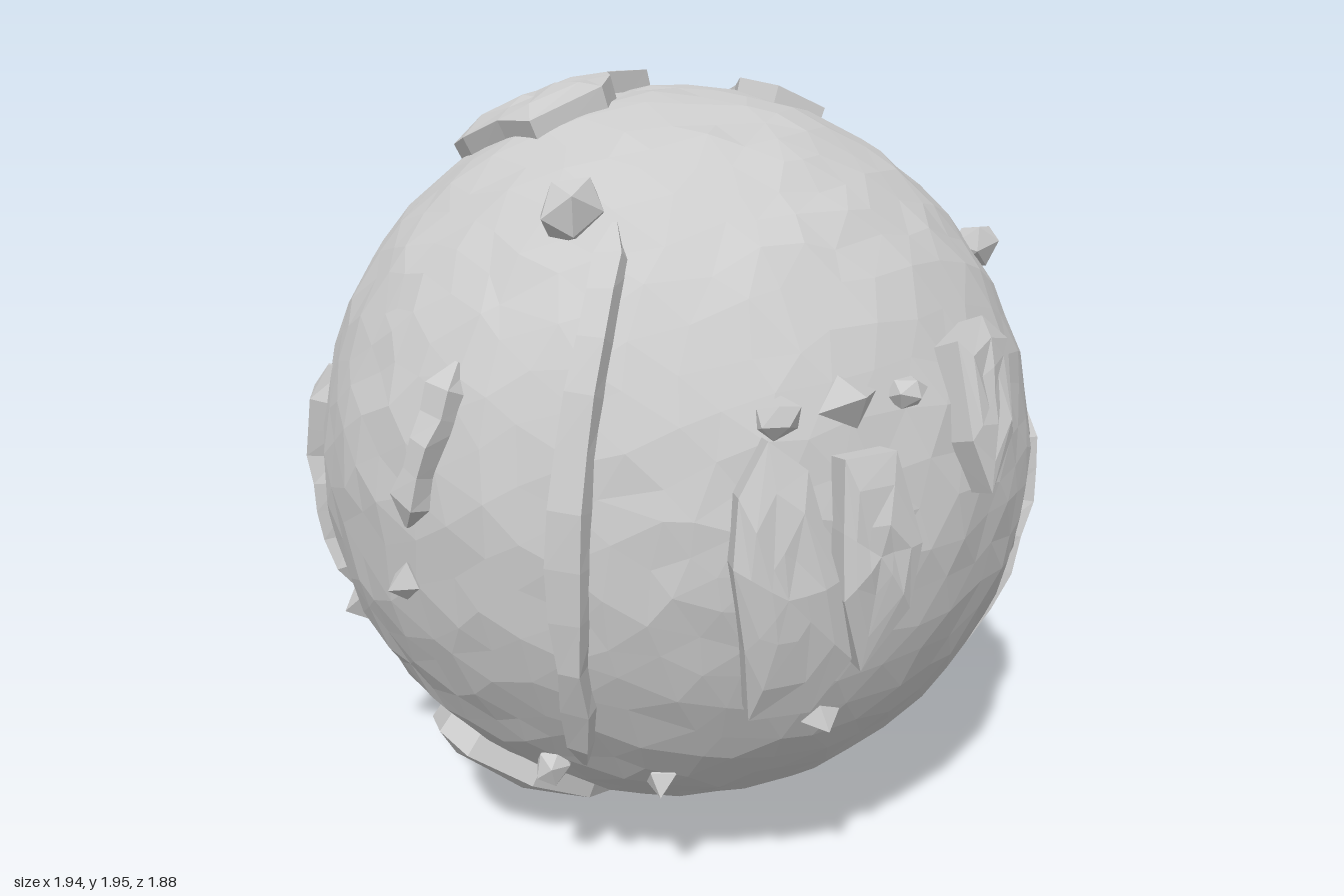
import * as THREE from 'three';

const C = new THREE.Vector3(-0.01, 1.01, -0.025); // planet centre
const R = 0.922;
const mat = new THREE.MeshStandardMaterial({ color: 0xcccccc, flatShading: true });
const V = (x, y, z) => new THREE.Vector3(x, y, z);

// direction from the planet centre to a point
const dir = (p) => V(...p).sub(C).normalize();
// repeatable noise in -1..1 tied to a position
const noise = (p, k) => {
  const s = Math.sin(Math.round(p.x * 500) * 12.99 + Math.round(p.y * 500) * 78.23 + Math.round(p.z * 500) * 37.72 + k * 4.1) * 43758.5;
  return (s - Math.floor(s)) * 2 - 1;
};

function meshOf(name, tris) {
  const g = new THREE.BufferGeometry().setFromPoints(tris);
  g.computeVertexNormals();
  const m = new THREE.Mesh(g, mat);
  m.name = name;
  m.position.copy(C);
  return m;
}

// faceted globe with an uneven surface
function globe() {
  const g = new THREE.IcosahedronGeometry(1, 9);
  const pos = g.attributes.position;
  const p = V();
  for (let i = 0; i < pos.count; i++) {
    p.fromBufferAttribute(pos, i);
    const q = p.clone();
    p.add(V(noise(q, 1) * 0.03, noise(q, 2) * 0.018, noise(q, 3) * 0.03)).normalize();
    p.multiplyScalar(R + noise(q, 4) * 0.007);
    pos.setXYZ(i, p.x, p.y, p.z);
  }
  g.computeVertexNormals();
  const m = new THREE.Mesh(g, mat);
  m.name = 'globe';
  m.position.copy(C);
  return m;
}

// raised land: sloping wall around an outline, closed by a curved cap
function plateau(name, outline, h) {
  let d = outline.map(dir);
  const mid = d.reduce((a, b) => a.add(b), V()).normalize();
  const turn = d.reduce((s, a, i) => s + a.clone().cross(d[(i + 1) % d.length]).dot(mid), 0);
  if (turn < 0) d.reverse();
  const ring = (t, r) => d.map((a) => a.clone().lerp(mid, t).normalize().multiplyScalar(r + noise(a, t * 9) * 0.008));
  const rings = [ring(0, R - 0.04), ring(0.05, R + h * 0.85), ring(0.35, R + h), ring(0.7, R + h), ring(1, R + h)];
  rings[4].forEach((p) => p.copy(mid).multiplyScalar(R + h));
  const tris = [];
  for (let k = 0; k < 4; k++) {
    for (let i = 0; i < d.length; i++) {
      const j = (i + 1) % d.length;
      const [a, b, c, e] = [rings[k][i], rings[k][j], rings[k + 1][j], rings[k + 1][i]];
      tris.push(a, b, c);
      if (k < 3) tris.push(a, c, e);
    }
  }
  return meshOf(name, tris);
}

// narrow ridge following a path, tapered at both ends
function ridge(name, path, width, h) {
  const curve = new THREE.CatmullRomCurve3(path.map((p) => dir(p)));
  const n = path.length * 2;
  const rows = [];
  for (let i = 0; i <= n; i++) {
    const p = curve.getPoint(i / n).normalize();
    const side = curve.getTangent(i / n).cross(p).normalize();
    const s = Math.min(1, 0.15 + 2.5 * Math.sin((i / n) * Math.PI));
    const w = width * s * (1 + noise(p, 1) * 0.25);
    const hh = h * s * (1 + noise(p, 2) * 0.2);
    rows.push([[-0.5, -0.04], [-0.32, hh], [0.32, hh * 0.85], [0.5, -0.04]].map(([a, b]) =>
      p.clone().addScaledVector(side, a * w).normalize().multiplyScalar(R + b)));
  }
  const tris = [];
  for (let i = 0; i < n; i++) {
    for (let k = 0; k < 3; k++) {
      const [a, b, c, e] = [rows[i][k], rows[i][k + 1], rows[i + 1][k + 1], rows[i + 1][k]];
      tris.push(a, b, c, a, c, e);
    }
  }
  for (const [r, o] of [[rows[0], 1], [rows[n], 0]]) {
    const f = o ? [0, 2, 1, 0, 3, 2] : [0, 1, 2, 0, 2, 3];
    tris.push(...f.map((k) => r[k]));
  }
  return meshOf(name, tris);
}

// small angular rock standing on the surface
function rock(p, size, i) {
  const d = dir(p);
  const m = new THREE.Mesh(i % 2 ? new THREE.OctahedronGeometry(size) : new THREE.IcosahedronGeometry(size, 0), mat);
  m.name = 'rock' + (i + 1);
  m.scale.set(0.75, 1, 0.95);
  m.quaternion.setFromUnitVectors(V(0, 1, 0), d);
  m.position.copy(C).addScaledVector(d, R + size * 0.05);
  return m;
}

export function createModel() {
  const group = new THREE.Group();
  group.name = 'planet';
  group.add(globe());

  // polar and bottom land
  group.add(plateau('topLand', [[-0.42, 1.84, 0.1], [-0.34, 1.87, -0.09], [-0.19, 1.92, -0.09], [-0.1, 1.93, 0.1],
    [-0.03, 1.93, 0.14], [0.05, 1.91, 0.22], [0, 1.85, 0.4], [-0.15, 1.84, 0.4], [-0.32, 1.78, 0.4],
    [-0.44, 1.75, 0.36], [-0.53, 1.72, 0.28], [-0.42, 1.8, 0.2]], 0.055));
  group.add(plateau('rearTopLand', [[-0.4, 1.75, -0.4], [-0.3, 1.78, -0.43], [-0.17, 1.82, -0.42], [-0.08, 1.82, -0.44],
    [0.04, 1.81, -0.47], [0, 1.87, -0.34], [-0.06, 1.89, -0.26], [-0.15, 1.86, -0.32], [-0.28, 1.81, -0.35]], 0.055));
  group.add(plateau('bottomLand', [[0, 0.42, 0.72], [0.08, 0.38, 0.68], [0.16, 0.26, 0.55], [0.14, 0.14, 0.36],
    [0.05, 0.09, 0.2], [-0.12, 0.1, 0.2], [-0.24, 0.16, 0.4], [-0.24, 0.24, 0.52], [-0.17, 0.36, 0.66]], 0.065));

  // land on the left side
  group.add(plateau('sideLandFront', [[0.84, 1.33, 0.39], [0.85, 1.25, 0.3], [0.88, 1, 0.24], [0.88, 0.8, 0.19],
    [0.82, 0.66, 0.25], [0.76, 0.66, 0.38], [0.79, 0.85, 0.42], [0.78, 1.05, 0.45], [0.79, 1.2, 0.44]], 0.06));
  group.add(plateau('sideLandMiddle', [[0.87, 1.26, 0.23], [0.89, 1.26, 0.1], [0.92, 1.05, 0.05], [0.91, 0.9, 0.07],
    [0.87, 0.76, 0.17], [0.88, 0.95, 0.24], [0.88, 1.1, 0.24]], 0.062));
  group.add(plateau('sideLandRear', [[0.82, 1.43, -0.12], [0.79, 1.47, -0.25], [0.79, 1.4, -0.33], [0.85, 1.2, -0.27],
    [0.89, 1.09, -0.16], [0.89, 1.22, -0.11]], 0.06));

  // land on the right side
  group.add(plateau('farLand', [[-0.71, 1.54, -0.24], [-0.82, 1.4, -0.25], [-0.88, 1.22, -0.24], [-0.87, 1, -0.28],
    [-0.84, 0.7, -0.26], [-0.7, 0.42, -0.24], [-0.55, 0.27, -0.22], [-0.62, 0.33, -0.1], [-0.78, 0.55, -0.05],
    [-0.9, 0.8, 0.04], [-0.92, 1, 0.02], [-0.9, 1.2, -0.07], [-0.84, 1.38, -0.16]], 0.035));

  // ridges
  group.add(ridge('frontLongRidge', [[0.4, 1.72, 0.46], [0.5, 1.55, 0.57], [0.56, 1.3, 0.68], [0.58, 1, 0.73],
    [0.55, 0.7, 0.69], [0.42, 0.42, 0.58]], 0.11, 0.04));
  group.add(ridge('frontBladeLeft', [[0.26, 1.43, 0.8], [0.25, 1.25, 0.87], [0.19, 1.04, 0.9]], 0.11, 0.04));
  group.add(ridge('frontBladeRight', [[-0.42, 1.27, 0.78], [-0.46, 1.05, 0.78], [-0.45, 0.85, 0.78],
    [-0.4, 0.64, 0.74]], 0.12, 0.035));
  group.add(ridge('rearRidge', [[0.55, 1.12, -0.72], [0.57, 0.9, -0.71], [0.58, 0.65, -0.65], [0.5, 0.4, -0.52]], 0.1, 0.045));
  group.add(ridge('farRearRidge', [[-0.68, 1.42, -0.45], [-0.78, 1.25, -0.46], [-0.83, 1.1, -0.42]], 0.1, 0.04));
  group.add(ridge('farLowRidge', [[-0.74, 0.75, -0.5], [-0.66, 0.58, -0.5], [-0.52, 0.4, -0.5]], 0.09, 0.03));

  // scattered rocks
  const rocks = [[0.3, 1.72, 0.5, 0.09], [-0.47, 0.57, 0.7, 0.09], [0.32, 0.4, 0.6, 0.06], [0.17, 0.9, 0.89, 0.055],
    [0.85, 1.36, 0.35, 0.06], [0.85, 1.36, 0.17, 0.08], [0.85, 1.35, 0.01, 0.05], [0.8, 0.6, 0.18, 0.05],
    [0.48, 1.54, -0.6, 0.07], [0.25, 1.38, -0.83, 0.075], [0.25, 0.42, -0.68, 0.06], [-0.14, 0.08, -0.05, 0.075],
    [-0.24, 0.14, -0.22, 0.06], [-0.34, 0.16, -0.12, 0.065], [-0.05, 0.08, -0.2, 0.045], [-0.92, 1.1, 0.15, 0.06],
    [-0.82, 1.25, 0.35, 0.05], [0.55, 0.36, 0.45, 0.05]];
  rocks.forEach(([x, y, z, s], i) => group.add(rock([x, y, z], s, i)));
  return group;
}
